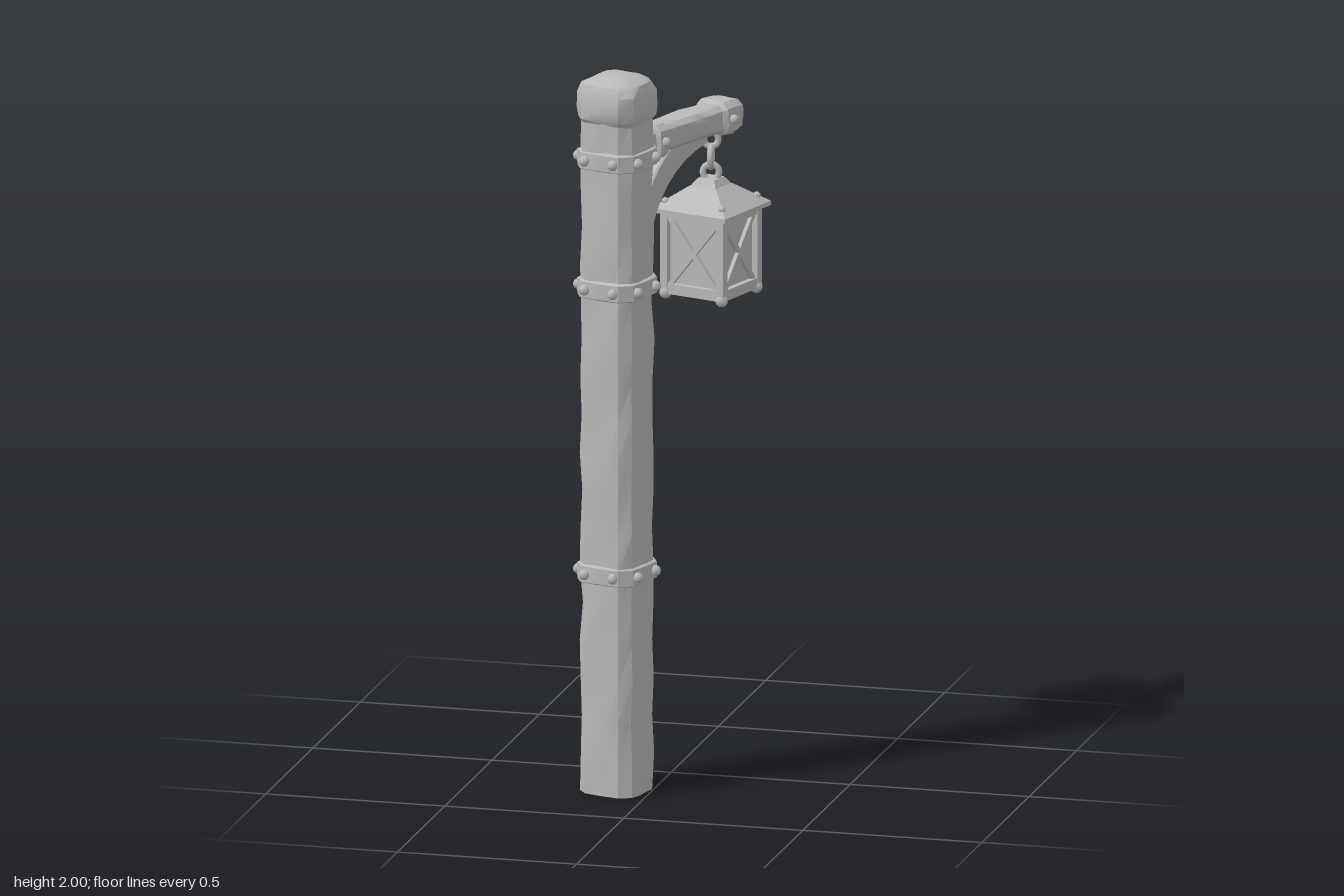
import * as THREE from 'three';
import { toCreasedNormals } from 'three/addons/utils/BufferGeometryUtils.js';

const stone = new THREE.MeshStandardMaterial({ color: 0xbababa });
stone.name = 'plain grey';

function add(parent, name, geometry, x = 0, y = 0, z = 0) {
  const mesh = new THREE.Mesh(geometry, stone);
  mesh.name = name;
  mesh.position.set(x, y, z);
  parent.add(mesh);
  return mesh;
}

function group(parent, name, x, y, z, turn) {
  const g = new THREE.Group();
  g.name = name;
  g.position.set(x, y, z);
  g.rotation.y = turn;
  parent.add(g);
  return g;
}

// Rounded-square column through [height, halfWidth] sections, with a hewn wobble
function hewn(sections, wobble = 0, flatten = 1) {
  const rows = sections.length - 1;
  const geo = new THREE.CylinderGeometry(1, 1, rows, 16, rows, false, Math.PI / 16);
  const p = geo.attributes.position;
  for (let i = 0; i < p.count; i++) {
    const row = Math.round(p.getY(i) + rows / 2);
    const [h, half] = sections[row];
    const x = p.getX(i), z = p.getZ(i);
    if (Math.hypot(x, z) < 0.1) { p.setXYZ(i, 0, h, 0); continue; }
    const a = Math.atan2(z, x);
    const corner = 1 / Math.pow(Math.abs(x) ** 5 + Math.abs(z) ** 5, 0.2);
    const bump = wobble * (Math.sin(3 * a + row * 1.9) + Math.sin(5 * a - row * 2.7)) * 0.5;
    const r = half * corner + bump;
    p.setXYZ(i, x * r, h, z * r * flatten);
  }
  return toCreasedNormals(geo, 0.6);
}

// Band with softened edges
const bandSections = (mid, height, half) => [
  [mid - height / 2, half - 0.012], [mid - height / 2 + 0.006, half],
  [mid + height / 2 - 0.006, half], [mid + height / 2, half - 0.012],
];

const stud = (r) => new THREE.SphereGeometry(r, 8, 6);

// Four-sided block given half widths at the bottom and top
function frustum(bottom, top, height) {
  const geo = new THREE.CylinderGeometry(top * Math.SQRT2, bottom * Math.SQRT2, height, 4);
  geo.rotateY(Math.PI / 4);
  return toCreasedNormals(geo, 0.3);
}

function buildPost(root) {
  const post = group(root, 'post', -0.095, 0, 0.212, -0.3);
  const shaft = [];
  for (let i = 0; i <= 18; i++) {
    shaft.push([i * 1.89 / 18, 0.083 + 0.002 * Math.sin(i * 2.3)]);
  }
  add(post, 'postShaft', hewn(shaft, 0.004));
  add(post, 'postCap', hewn([
    [1.87, 0.08], [1.885, 0.09], [1.91, 0.093], [1.955, 0.092],
    [1.98, 0.08], [1.995, 0.052], [2.0, 0.02],
  ], 0.003));
  // Strapping bands, two studs on each side
  for (const y of [0.615, 1.41, 1.77]) {
    add(post, 'postBand', hewn(bandSections(y, 0.056, 0.092), 0.002));
    for (let side = 0; side < 4; side++) {
      for (const off of [-0.045, 0.045]) {
        const a = side * Math.PI / 2;
        add(post, 'bandStud', stud(0.015),
          Math.cos(a) * 0.095 - Math.sin(a) * off, y,
          Math.sin(a) * 0.095 + Math.cos(a) * off);
      }
    }
  }
}

function buildArm(root) {
  const arm = group(root, 'arm', -0.095, 0, 0.212, -0.393);
  const beamY = 1.788;
  const along = (name, sections, wobble) => {
    const geo = hewn(sections, wobble, 0.86);
    geo.rotateX(-Math.PI / 2);
    add(arm, name, geo, 0, beamY, 0);
  };
  const beam = [];
  for (let i = 0; i <= 6; i++) beam.push([0.04 + i * 0.068, 0.045 + 0.001 * Math.sin(i * 2)]);
  along('armBeam', beam, 0.003);
  along('armBand', bandSections(0.14, 0.048, 0.057), 0.001);
  along('armEnd', [
    [0.415, 0.045], [0.425, 0.055], [0.465, 0.056], [0.495, 0.05], [0.515, 0.036], [0.522, 0.018],
  ], 0.002);
  for (const t of [0.14, 0.443]) {
    for (const side of [-1, 1]) add(arm, 'armStud', stud(0.014), side * 0.06, beamY, -t);
  }

  // Curved brace between post and beam
  const shape = new THREE.Shape();
  shape.moveTo(0.06, 1.42);
  shape.lineTo(0.1, 1.42);
  shape.bezierCurveTo(0.11, 1.58, 0.18, 1.7, 0.37, 1.735);
  shape.lineTo(0.37, 1.765);
  shape.lineTo(0.24, 1.765);
  shape.bezierCurveTo(0.16, 1.73, 0.1, 1.66, 0.06, 1.53);
  shape.closePath();
  const brace = new THREE.ExtrudeGeometry(shape, {
    depth: 0.042, curveSegments: 10, bevelEnabled: true,
    bevelThickness: 0.005, bevelSize: 0.004, bevelSegments: 1,
  });
  brace.translate(0, 0, -0.021);
  brace.rotateY(Math.PI / 2);
  add(arm, 'brace', toCreasedNormals(brace, 0.5));
}

function buildLantern(root) {
  const lantern = group(root, 'lantern', 0.065, 0, -0.176, -0.295);

  // Hanging links
  [[1.728, 0.02, 0], [1.68, 0.029, Math.PI / 2], [1.637, 0.022, 0]].forEach(([y, r, turn]) => {
    add(lantern, 'chainLink', new THREE.TorusGeometry(r, 0.009, 8, 16), 0, y, 0).rotation.y = turn + 0.5;
  });

  // Roof
  add(lantern, 'roofLip', new THREE.BoxGeometry(0.236, 0.012, 0.236), 0, 1.54, 0);
  add(lantern, 'roofSlope', frustum(0.118, 0.042, 0.056), 0, 1.574, 0);
  add(lantern, 'roofTop', frustum(0.04, 0.026, 0.02), 0, 1.612, 0);

  // Inner box and bottom
  add(lantern, 'innerPanels', new THREE.BoxGeometry(0.164, 0.22, 0.164), 0, 1.425, 0);
  add(lantern, 'bottomPlate', new THREE.BoxGeometry(0.196, 0.016, 0.196), 0, 1.315, 0);

  // Corner posts, feet and roof studs
  for (const sx of [-1, 1]) {
    for (const sz of [-1, 1]) {
      add(lantern, 'cornerPost', new THREE.BoxGeometry(0.022, 0.23, 0.022), sx * 0.089, 1.425, sz * 0.089);
      add(lantern, 'foot', stud(0.018), sx * 0.089, 1.309, sz * 0.089);
      add(lantern, 'roofStud', stud(0.011), sx * 0.09, 1.563, sz * 0.09);
    }
  }

  // Rails and crossed bars on every side
  for (let i = 0; i < 4; i++) {
    const side = group(lantern, 'lanternSide', 0, 0, 0, i * Math.PI / 2);
    for (const y of [1.325, 1.525]) {
      add(side, 'rail', new THREE.BoxGeometry(0.17, 0.022, 0.02), 0, y, 0.088);
    }
    for (const tilt of [-1, 1]) {
      const bar = add(side, 'crossBar', new THREE.BoxGeometry(0.013, 0.245, 0.012), 0, 1.425, 0.087);
      bar.rotation.z = tilt * 0.68;
    }
  }
}

export function createModel() {
  const root = new THREE.Group();
  root.name = 'lanternPost';
  buildPost(root);
  buildArm(root);
  buildLantern(root);
  return root;
}
